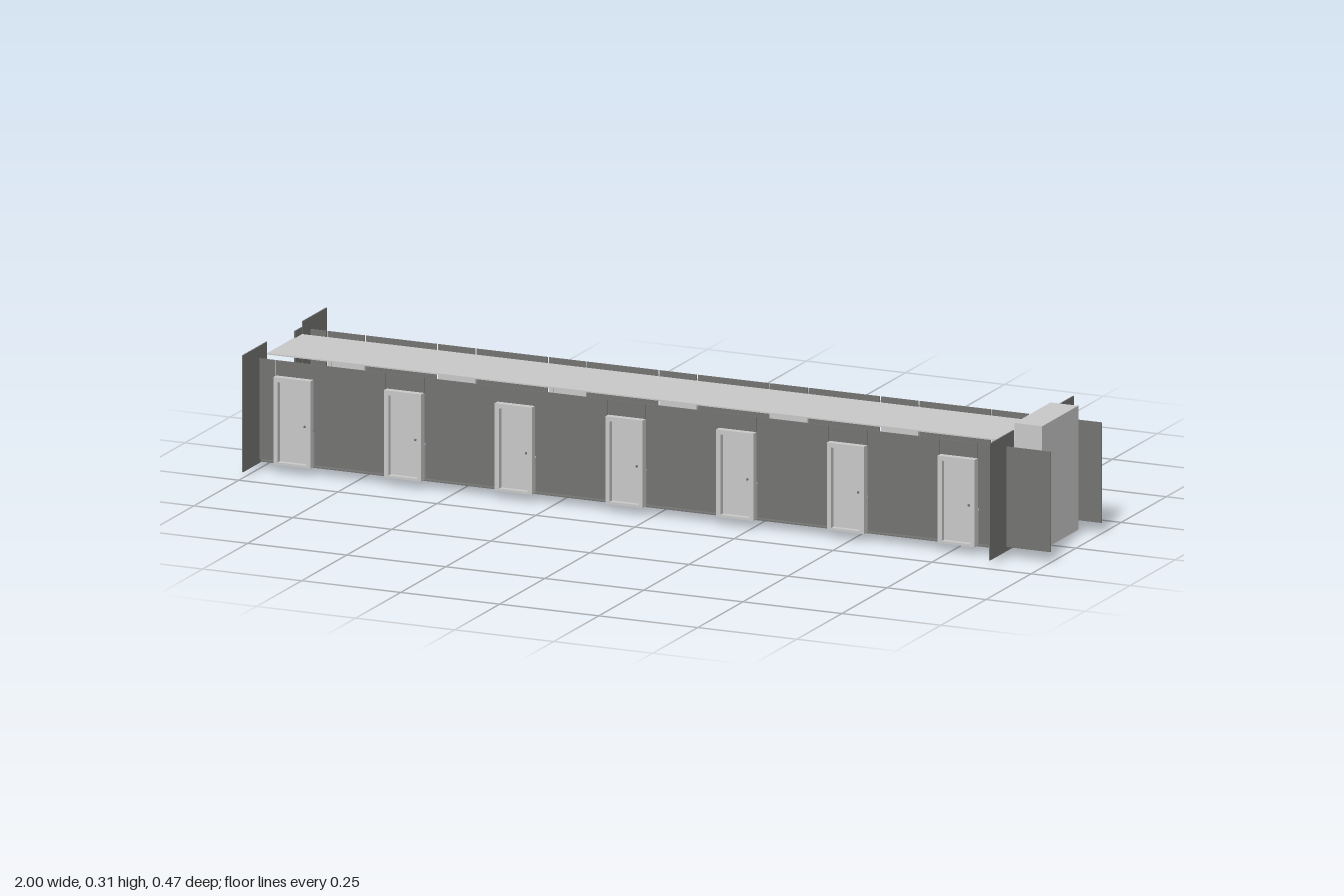
import * as THREE from 'three';

export function createModel() {
  const model = new THREE.Group();
  model.name = 'corridor';
  const dark = new THREE.MeshStandardMaterial({ color: 0x757573 });
  dark.name = 'dark grey';
  const light = new THREE.MeshStandardMaterial({ color: 0xcacaca });
  light.name = 'light grey';

  // Box given by its minimum and maximum on each axis
  function box(name, mat, [x0, x1], [y0, y1], [z0, z1], parent = model) {
    const mesh = new THREE.Mesh(new THREE.BoxGeometry(x1 - x0, y1 - y0, z1 - z0), mat);
    mesh.position.set((x0 + x1) / 2, (y0 + y1) / 2, (z0 + z1) / 2);
    mesh.name = name;
    parent.add(mesh);
    return mesh;
  }

  // Floor, ceiling strip and the lift box closing one end
  box('floor', dark, [-1, 0.888], [0.018, 0.021], [-0.14, 0.14]);
  box('ceiling', light, [-1, 0.888], [0.261, 0.264], [-0.094, 0.094]);
  box('endBox', light, [0.89, 0.96], [0.015, 0.31], [-0.1, 0.1]);

  // Doorway frame, an outline with a rectangular hole
  const doorW = 0.094, doorY = 0.02, doorTop = 0.228, border = 0.011;
  const outline = new THREE.Shape([
    new THREE.Vector2(-doorW / 2, doorY), new THREE.Vector2(doorW / 2, doorY),
    new THREE.Vector2(doorW / 2, doorTop), new THREE.Vector2(-doorW / 2, doorTop),
  ]);
  const ix = doorW / 2 - border;
  outline.holes.push(new THREE.Path([
    new THREE.Vector2(-ix, doorY + 0.006), new THREE.Vector2(-ix, doorTop - border),
    new THREE.Vector2(ix, doorTop - border), new THREE.Vector2(ix, doorY + 0.006),
  ]));
  const frameGeometry = new THREE.ExtrudeGeometry(outline, { depth: 0.018, bevelEnabled: false });
  const knobGeometry = new THREE.SphereGeometry(0.003, 8, 6);

  // Two long walls, each with seven doors between wall panels
  const pitch = 0.2795, firstDoor = -0.908, doorCount = 7;
  for (const side of [1, -1]) {
    const wall = new THREE.Group();
    wall.name = side > 0 ? 'frontWall' : 'backWall';
    wall.position.z = side > 0 ? 0.141 : -0.143;
    if (side < 0) wall.scale.z = -1;
    model.add(wall);

    let start = -1;
    for (let i = 0; i <= doorCount; i++) {
      const x = firstDoor + i * pitch;
      const end = i < doorCount ? x - doorW / 2 - 0.003 : 1;
      box('wallPanel', dark, [start, end], [0.025, 0.264], [-0.001, 0.001], wall);
      start = x + doorW / 2 + 0.003;
      if (i === doorCount) break;

      box('lintel', dark, [x - doorW / 2, x + doorW / 2], [doorTop, 0.264], [-0.001, 0.001], wall);
      const frame = new THREE.Mesh(frameGeometry, light);
      frame.name = 'doorFrame';
      frame.position.set(x, 0, -0.001);
      wall.add(frame);
      box('door', light, [x - ix, x + ix], [doorY + 0.006, doorTop - border], [0, 0.004], wall);
      for (const z of [0.006, -0.002]) {
        const knob = new THREE.Mesh(knobGeometry, dark);
        knob.name = 'doorKnob';
        knob.position.set(x + ix - 0.009, 0.115, z);
        wall.add(knob);
      }
    }

    // Cross walls standing out at both ends
    const span = side > 0 ? [0.1, 0.233] : [-0.233, -0.1];
    for (const x of [-1, 0.886]) box('endPanel', dark, [x, x + 0.003], [0.015, 0.293], span);
  }

  // Narrow post beside the open end
  box('endPost', dark, [-1, -0.997], [0, 0.28], [-0.095, -0.057]);
  return model;
}
